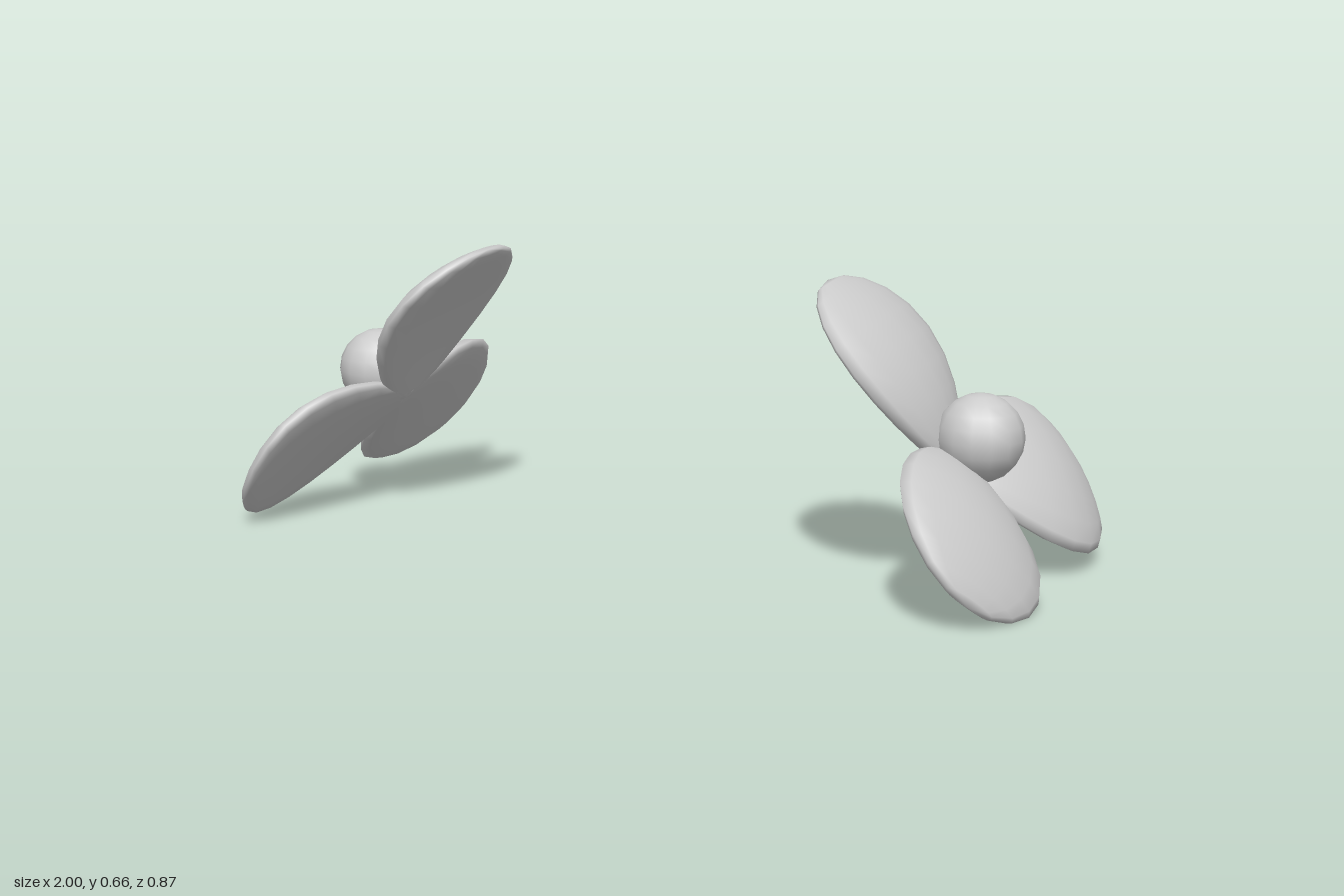
import * as THREE from 'three';
import { mergeVertices } from 'three/addons/utils/BufferGeometryUtils.js';

const material = new THREE.MeshStandardMaterial({ color: 0xcccccc });

// Plump petal growing along +y from a narrow base, arched and domed toward +z
function petalGeometry({ start, length, halfWidth, thickness, arch, dome, belly, lift }) {
  let g = new THREE.SphereGeometry(1, 16, 11);
  g.deleteAttribute('uv');
  g.deleteAttribute('normal');
  g = mergeVertices(g, 1e-4);
  const p = g.attributes.position;
  for (let i = 0; i < p.count; i++) {
    const x = p.getX(i), y = p.getY(i), z = p.getZ(i);
    const u = (y + 1) / 2;
    const r = Math.sqrt(Math.max(1 - y * y, 1e-6));
    const across = x / r;
    const hump = 4 * u * (1 - u);
    const taper = 1.09 - 0.5 * (1 - u) ** 2;
    const swell = hump * (1 - across * across) * (z < 0 ? -belly : dome);
    const rim = Math.sign(z) * Math.sqrt(Math.abs(z)) * thickness;
    p.setXYZ(i, x * halfWidth * taper, start + u * length, swell + rim + arch * hump + lift * u);
  }
  g.computeVertexNormals();
  return g;
}

const petal = petalGeometry({
  start: -0.012, length: 0.488, halfWidth: 0.213, thickness: 0.02,
  arch: 0.03, dome: 0.037, belly: 0.01, lift: 0.027,
});
const ball = new THREE.SphereGeometry(0.098, 14, 10);

// One three-petalled flower, facing outward and up on the given side
function flower(side) {
  const group = new THREE.Group();
  group.name = side > 0 ? 'leftFlower' : 'rightFlower';

  const petals = new THREE.Group();
  petals.name = 'petals';
  const slope = new THREE.Vector3(-0.636 * side, 0.772, 0).normalize();
  const normal = new THREE.Vector3(0.772 * side, 0.636, 0).normalize();
  const across = new THREE.Vector3().crossVectors(slope, normal);
  petals.quaternion.setFromRotationMatrix(new THREE.Matrix4().makeBasis(across, slope, normal));
  petals.position.set(0.721 * side, 0.277, 0.02);
  [6, 129, 244].forEach((angle, i) => {
    const mesh = new THREE.Mesh(petal, material);
    mesh.name = 'petal' + (i + 1);
    mesh.rotation.z = side * THREE.MathUtils.degToRad(angle);
    petals.add(mesh);
  });

  const center = new THREE.Mesh(ball, material);
  center.name = 'flowerCenter';
  center.position.set(0.79 * side, 0.336, 0.022);

  group.add(petals, center);
  return group;
}

export function createModel() {
  const model = new THREE.Group();
  model.name = 'flowerPair';
  model.add(flower(1), flower(-1));
  return model;
}
